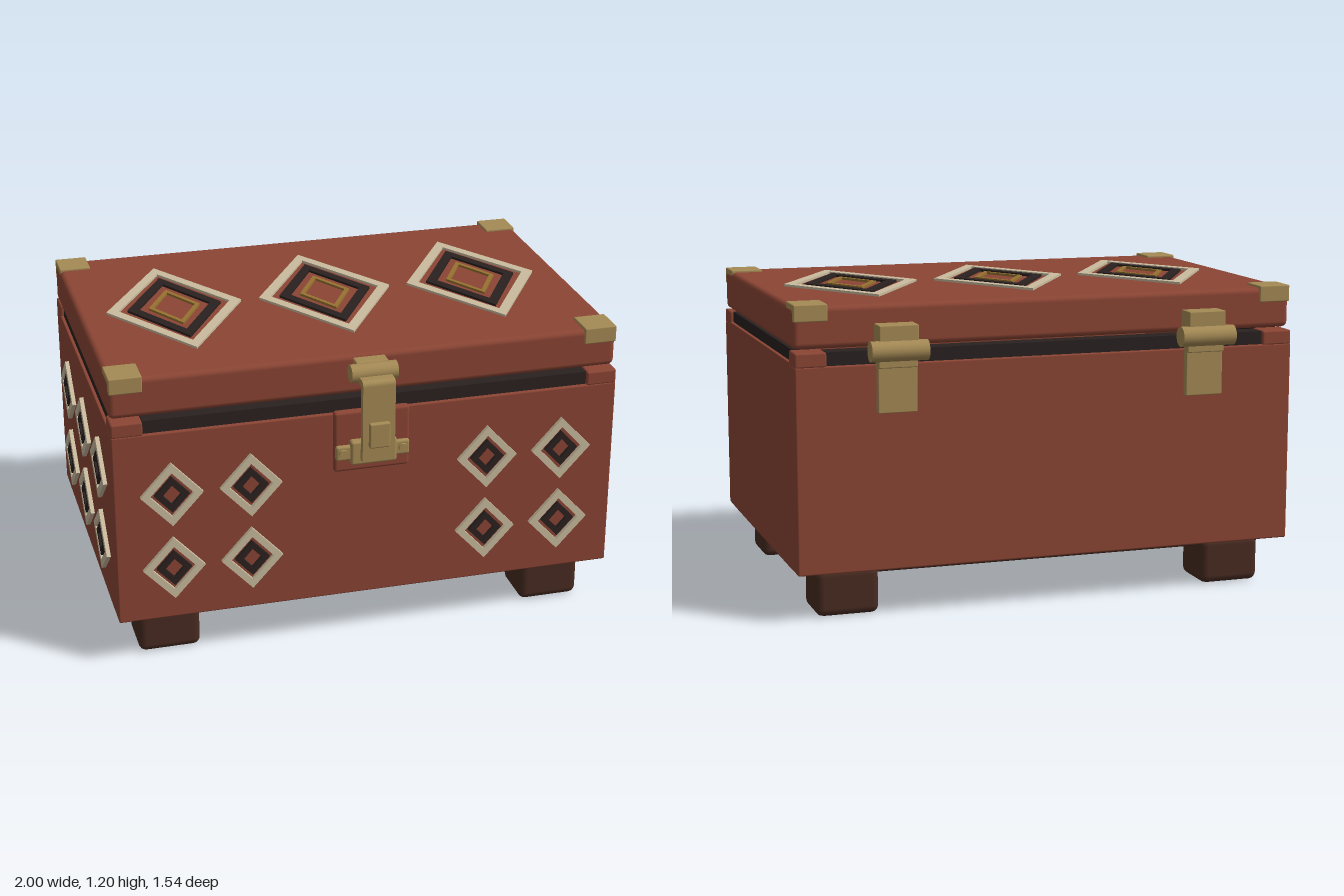
import * as THREE from 'three';
import { RoundedBoxGeometry } from 'three/addons/geometries/RoundedBoxGeometry.js';

const mat = (name, color) => {
  const m = new THREE.MeshStandardMaterial({ color });
  m.name = name;
  return m;
};

export function createModel() {
  const red = mat('red wood', 0x8b4534);
  const brown = mat('dark brown wood', 0x482b21);
  const black = mat('near black', 0x2a2120);
  const brass = mat('brass', 0xa58a55);
  const cream = mat('cream paint', 0xcabb9e);
  const gold = mat('dull gold paint', 0x977230);
  const root = new THREE.Group();
  root.name = 'chest';

  const add = (parent, name, geometry, material) => {
    const mesh = new THREE.Mesh(geometry, material);
    mesh.name = name;
    parent.add(mesh);
    return mesh;
  };
  // Box given by its min and max on each axis, optionally with rounded edges
  const box = (parent, name, material, [x0, x1], [y0, y1], [z0, z1], r = 0) => {
    const s = [x1 - x0, y1 - y0, z1 - z0];
    const g = r ? new RoundedBoxGeometry(...s, 2, r) : new THREE.BoxGeometry(...s);
    const mesh = add(parent, name, g, material);
    mesh.position.set((x0 + x1) / 2, (y0 + y1) / 2, (z0 + z1) / 2);
    return mesh;
  };
  // Cylinder lying along x
  const barrel = (parent, name, radius, length, x, y, z) => {
    const mesh = add(parent, name, new THREE.CylinderGeometry(radius, radius, length, 20), brass);
    mesh.rotation.z = Math.PI / 2;
    mesh.position.set(x, y, z);
  };

  // Body: floor, full-width front and back walls, side walls between them
  const body = new THREE.Group();
  body.name = 'body';
  root.add(body);
  const X = [-0.985, 0.997];
  box(body, 'floor', red, [-0.95, 0.96], [0.188, 0.24], [-0.64, 0.6]);
  box(body, 'frontWall', red, X, [0.186, 0.967], [0.54, 0.638], 0.006);
  box(body, 'backWall', red, X, [0.186, 0.967], [-0.683, -0.585], 0.006);
  box(body, 'rightWall', red, [-0.985, -0.87], [0.186, 0.975], [-0.585, 0.54], 0.004);
  box(body, 'leftWall', red, [0.88, 0.997], [0.186, 0.975], [-0.585, 0.54], 0.004);
  for (const x of [[-0.985, -0.865], [0.877, 0.997]])
    for (const z of [[-0.683, -0.582], [0.538, 0.638]])
      box(body, 'cornerBlock', red, x, [0.963, 1.02], z, 0.008);

  // Dark rim between the corner blocks
  for (const z of [[-0.67, -0.595], [0.55, 0.624]])
    box(body, 'rimLong', black, [-0.865, 0.877], [0.96, 1.018], z);
  for (const x of [[-0.972, -0.88], [0.892, 0.984]])
    box(body, 'rimShort', black, x, [0.96, 1.02], [-0.568, 0.526]);

  // Base plate and feet
  box(root, 'basePlate', brown, [-0.905, 0.917], [0.155, 0.188], [-0.59, 0.548], 0.008);
  for (const x of [[-0.9, -0.656], [0.668, 0.912]])
    for (const z of [[-0.61, -0.4], [0.358, 0.568]])
      box(root, 'foot', brown, x, [0, 0.183], z, 0.03);

  // Lid with brass corner caps
  const lid = new THREE.Group();
  lid.name = 'lid';
  root.add(lid);
  box(lid, 'lidPanel', red, X, [1.028, 1.186], [-0.657, 0.612], 0.022);
  for (const x of [[-0.983, -0.857], [0.867, 0.995]])
    for (const z of [[-0.666, -0.54], [0.49, 0.62]])
      box(lid, 'cornerCap', brass, x, [1.13, 1.195], z, 0.005);

  // Diamond inlays: nested rings lying in the xy plane, raised along +z
  const rhombus = (Type, w, h) => new Type([
    new THREE.Vector2(w, 0), new THREE.Vector2(0, h),
    new THREE.Vector2(-w, 0), new THREE.Vector2(0, -h)]);
  const diamond = (rings, depth) => {
    const g = new THREE.Group();
    g.name = 'diamondInlay';
    for (const [name, material, w, h, wi, hi] of rings) {
      const shape = rhombus(THREE.Shape, w, h);
      shape.holes.push(rhombus(THREE.Path, wi, hi));
      add(g, name, new THREE.ExtrudeGeometry(shape, { depth, bevelEnabled: false }), material);
    }
    root.add(g);
    return g;
  };

  for (const x of [-0.607, 0.006, 0.619]) {
    const d = diamond([
      ['creamRing', cream, 0.27, 0.43, 0.222, 0.358],
      ['blackRing', black, 0.187, 0.315, 0.143, 0.243],
      ['goldRing', gold, 0.102, 0.18, 0.082, 0.146]], 0.009);
    d.rotation.x = -Math.PI / 2;
    d.position.set(x, 1.186, -0.028);
  }
  const small = (w) => diamond([
    ['creamRing', cream, w, 0.13, w * 0.7, 0.091],
    ['blackRing', black, w * 0.56, 0.073, w * 0.3, 0.04]], 0.016);
  for (const y of [0.405, 0.715]) {
    for (const x of [-0.767, -0.463, 0.474, 0.778])
      small(0.12).position.set(x, y, 0.638);
    for (const z of [-0.402, -0.028, 0.346]) {
      const d = small(0.155);
      d.rotation.y = -Math.PI / 2;
      d.position.set(-0.985, y, z);
    }
  }

  // Front latch
  const latch = new THREE.Group();
  latch.name = 'latch';
  latch.position.x = 0.005;
  root.add(latch);
  box(latch, 'latchBacking', red, [-0.148, 0.148], [0.732, 0.98], [0.63, 0.665], 0.012);
  box(latch, 'keeperBar', brass, [-0.145, 0.145], [0.784, 0.845], [0.655, 0.68], 0.01);
  box(latch, 'keeperBlock', brass, [-0.09, 0.09], [0.768, 0.866], [0.655, 0.695], 0.01);
  for (const x of [-0.118, 0.118]) {
    const screw = add(latch, 'screw', new THREE.CylinderGeometry(0.018, 0.018, 0.02, 12), brass);
    screw.rotation.x = Math.PI / 2;
    screw.position.set(x, 0.815, 0.68);
  }
  box(latch, 'lidLeaf', brass, [-0.063, 0.063], [1.125, 1.175], [0.605, 0.66], 0.006);
  barrel(latch, 'latchBarrel', 0.035, 0.18, 0, 1.138, 0.67);
  // Strap profile in (z, y): out from the barrel, then down the front
  const strap = new THREE.Shape();
  strap.moveTo(0.66, 1.134);
  strap.lineTo(0.735, 1.134);
  strap.quadraticCurveTo(0.754, 1.132, 0.754, 1.112);
  strap.lineTo(0.754, 0.808);
  strap.lineTo(0.727, 0.808);
  strap.lineTo(0.727, 1.108);
  strap.lineTo(0.66, 1.108);
  const hasp = add(latch, 'hasp', new THREE.ExtrudeGeometry(strap, { depth: 0.126, bevelEnabled: false }), brass);
  hasp.rotation.y = -Math.PI / 2;
  hasp.position.x = 0.063;
  box(latch, 'haspButton', brass, [-0.04, 0.04], [0.868, 0.968], [0.745, 0.772], 0.006);
  box(latch, 'staple', brass, [-0.035, 0.035], [0.79, 0.85], [0.68, 0.7], 0.005);

  // Back hinges
  for (const x of [-0.607, 0.617]) {
    const hinge = new THREE.Group();
    hinge.name = 'hinge';
    hinge.position.x = x;
    root.add(hinge);
    barrel(hinge, 'hingeBarrel', 0.039, 0.218, 0, 1.02, -0.727);
    box(hinge, 'upperLeaf', brass, [-0.075, 0.075], [1.02, 1.115], [-0.735, -0.65], 0.004);
    box(hinge, 'lowerLeaf', brass, [-0.075, 0.075], [0.786, 1.01], [-0.71, -0.68], 0.004);
    box(hinge, 'leafKnuckle', brass, [-0.075, 0.075], [0.955, 1.02], [-0.722, -0.685], 0.004);
  }
  return root;
}
